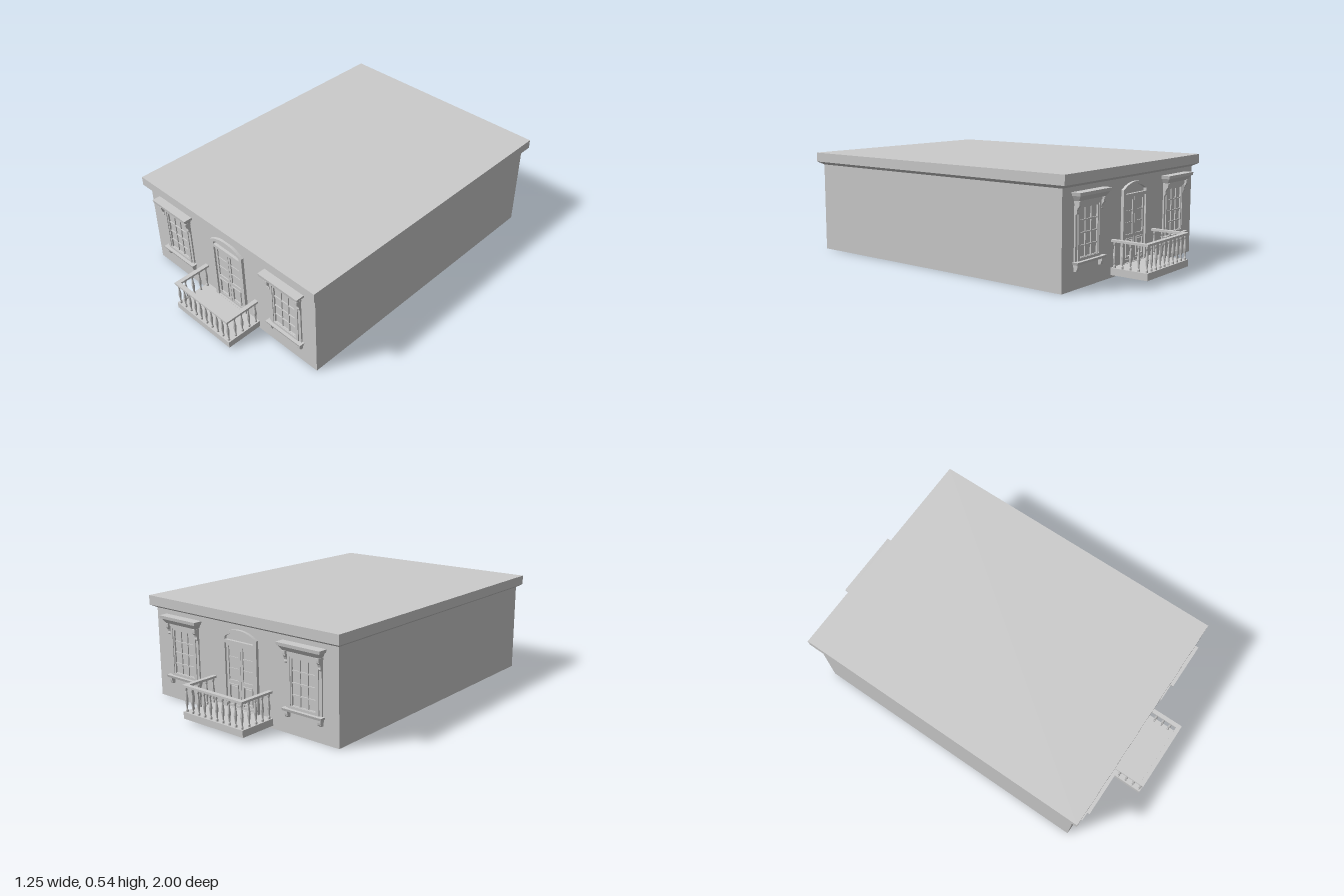
import * as THREE from 'three';

const mat = new THREE.MeshStandardMaterial({ color: 0xcccccc });
const flat = new THREE.MeshStandardMaterial({ color: 0xcccccc, flatShading: true });

function add(parent, name, geo, material = mat) {
  const m = new THREE.Mesh(geo, material);
  m.name = name;
  parent.add(m);
  return m;
}

// Box between two corners; inX / inZ draw the bottom edge inwards (inZ on the +z side, both sides if bothZ)
function box(parent, name, [x0, x1], [y0, y1], [z0, z1], inX = 0, inZ = 0, bothZ = false) {
  const g = new THREE.BoxGeometry(x1 - x0, y1 - y0, z1 - z0);
  const p = g.attributes.position;
  for (let i = 0; i < p.count; i++) {
    if (p.getY(i) > 0) continue;
    p.setX(i, p.getX(i) - Math.sign(p.getX(i)) * inX);
    if (p.getZ(i) > 0) p.setZ(i, p.getZ(i) - inZ);
    else if (bothZ) p.setZ(i, p.getZ(i) + inZ);
  }
  g.translate((x0 + x1) / 2, (y0 + y1) / 2, (z0 + z1) / 2);
  g.computeVertexNormals();
  return add(parent, name, g);
}

// Rectangular frame with a hole, w = border width
function frame(parent, name, [x0, x1], [y0, y1], w, z0, z1) {
  const rect = (C, d) => new C([[x0 + d, y0 + d], [x1 - d, y0 + d], [x1 - d, y1 - d], [x0 + d, y1 - d]]
    .map(([x, y]) => new THREE.Vector2(x, y)));
  const s = rect(THREE.Shape, 0);
  s.holes.push(rect(THREE.Path, w));
  const g = new THREE.ExtrudeGeometry(s, { depth: z1 - z0, bevelEnabled: false });
  add(parent, name, g.translate(0, 0, z0));
}

// Side profile of [z, y] points extruded along x, centred on x
function profile(parent, name, pts, x, width) {
  const s = new THREE.Shape(pts.map(([z, y]) => new THREE.Vector2(z, y)));
  const g = new THREE.ExtrudeGeometry(s, { depth: width, bevelEnabled: false });
  g.rotateY(-Math.PI / 2).translate(x + width / 2, 0, 0);
  add(parent, name, g);
}

function createWindow(x) {
  const w = new THREE.Group();
  w.name = 'window';
  w.position.x = x;
  const Z = 0.798;
  frame(w, 'outerCasing', [-0.108, 0.108], [0.13, 0.407], 0.016, Z, 0.808);
  frame(w, 'innerCasing', [-0.092, 0.092], [0.13, 0.393], 0.014, Z, 0.813);
  frame(w, 'sash', [-0.078, 0.078], [0.132, 0.379], 0.008, Z, 0.809);
  // Glazing bars: three columns, four rows
  for (const i of [-1, 1]) {
    const c = i * 0.0233;
    box(w, 'verticalBar', [c - 0.003, c + 0.003], [0.138, 0.372], [Z, 0.806]);
  }
  for (let i = 1; i < 4; i++) {
    const y = 0.139 + i * 0.058;
    box(w, 'horizontalBar', [-0.071, 0.071], [y - 0.003, y + 0.003], [Z, 0.806]);
  }
  // Sill and hood
  box(w, 'sill', [-0.12, 0.12], [0.118, 0.131], [Z, 0.83], 0.004, 0.004);
  box(w, 'hoodFrieze', [-0.108, 0.108], [0.393, 0.409], [Z, 0.819]);
  box(w, 'hoodMoulding', [-0.122, 0.122], [0.407, 0.431], [Z, 0.842], 0.012, 0.016);
  box(w, 'hoodCap', [-0.13, 0.13], [0.431, 0.447], [Z, 0.848], 0.003, 0.002);
  for (const s of [-1, 1]) {
    box(w, 'consoleCap', [s * 0.1 - 0.011, s * 0.1 + 0.011], [0.396, 0.407], [Z, 0.831]);
    profile(w, 'console', [[Z, 0.345], [0.812, 0.345], [0.816, 0.352], [0.814, 0.362],
      [0.819, 0.375], [0.827, 0.383], [0.828, 0.396], [Z, 0.396]], s * 0.1, 0.016);
    box(w, 'sillBracketCap', [s * 0.099 - 0.013, s * 0.099 + 0.013], [0.106, 0.118], [Z, 0.825]);
    profile(w, 'sillBracket', [[Z, 0.086], [0.812, 0.086], [0.817, 0.092], [0.82, 0.106], [Z, 0.106]],
      s * 0.099, 0.019);
  }
  return w;
}

function createDoor() {
  const d = new THREE.Group();
  d.name = 'door';
  const Z = 0.798;
  // Arched surround with a door opening and a curved transom opening
  const s = new THREE.Shape();
  s.moveTo(-0.115, 0.05).lineTo(0.115, 0.05).lineTo(0.115, 0.413);
  s.quadraticCurveTo(0.06, 0.447, 0, 0.447).quadraticCurveTo(-0.06, 0.447, -0.115, 0.413);
  const opening = new THREE.Path();
  opening.moveTo(-0.095, 0.052).lineTo(-0.095, 0.374).lineTo(0.095, 0.374).lineTo(0.095, 0.052);
  const transom = new THREE.Path();
  transom.moveTo(-0.095, 0.39).lineTo(0.095, 0.39).lineTo(0.095, 0.404);
  transom.quadraticCurveTo(0.05, 0.433, 0, 0.433).quadraticCurveTo(-0.05, 0.433, -0.095, 0.404);
  s.holes.push(opening, transom);
  const g = new THREE.ExtrudeGeometry(s, { depth: 0.017, bevelEnabled: false, curveSegments: 8 });
  add(d, 'doorSurround', g.translate(0, 0, Z));
  // Double leaves with panes above and a panel below
  for (const k of [-1, 1]) {
    const span = (a, b) => (k > 0 ? [a, b] : [-b, -a]);
    frame(d, 'leafFrame', span(0.001, 0.094), [0.052, 0.373], 0.014, Z, 0.806);
    box(d, 'lockRail', span(0.014, 0.081), [0.17, 0.19], [Z, 0.806]);
    frame(d, 'lowerPanelMoulding', span(0.016, 0.079), [0.078, 0.172], 0.006, Z, 0.811);
    box(d, 'lowerPanel', span(0.027, 0.068), [0.09, 0.16], [Z, 0.806]);
    for (const y of [0.246, 0.303])
      box(d, 'paneBar', span(0.014, 0.081), [y - 0.004, y + 0.004], [Z, 0.804]);
  }
  return d;
}

function createBalcony() {
  const b = new THREE.Group();
  b.name = 'balcony';
  box(b, 'balconyFloor', [-0.2, 0.2], [0.015, 0.05], [0.795, 1]);
  box(b, 'frontRail', [-0.2, 0.2], [0.175, 0.186], [0.977, 1]);
  for (const s of [-1, 1])
    box(b, 'sideRail', s > 0 ? [0.177, 0.2] : [-0.2, -0.177], [0.175, 0.186], [0.795, 0.977]);
  // Turned balusters on three sides
  const turned = new THREE.LatheGeometry([[0.0065, 0.05], [0.0065, 0.06], [0.0035, 0.066], [0.0055, 0.085],
    [0.0085, 0.108], [0.006, 0.132], [0.0035, 0.155], [0.0065, 0.163], [0.0065, 0.176]]
    .map(([r, y]) => new THREE.Vector2(r, y)), 8);
  const place = (x, z) => add(b, 'baluster', turned, flat).position.set(x, 0, z);
  for (let i = 0; i < 10; i++) place(-0.186 + i * 0.372 / 9, 0.988);
  for (const x of [-0.188, 0.188])
    for (let i = 0; i < 4; i++) place(x, 0.815 + i * 0.0435);
  return b;
}

export function createModel() {
  const model = new THREE.Group();
  model.name = 'house';

  // Main block, sloping cornice and flat roof
  box(model, 'walls', [-0.6, 0.6], [0, 0.47], [-0.8, 0.8]);
  box(model, 'corniceSlope', [-0.625, 0.625], [0.47, 0.486], [-0.83, 0.83], 0.025, 0.03, true);
  box(model, 'roofSlab', [-0.625, 0.625], [0.486, 0.535], [-0.83, 0.83]);

  // The same facade on the front and the back
  for (const [name, turn] of [['frontFacade', 0], ['backFacade', Math.PI]]) {
    const f = new THREE.Group();
    f.name = name;
    f.add(createWindow(-0.4), createWindow(0.4), createDoor(), createBalcony());
    f.rotation.y = turn;
    model.add(f);
  }
  return model;
}
